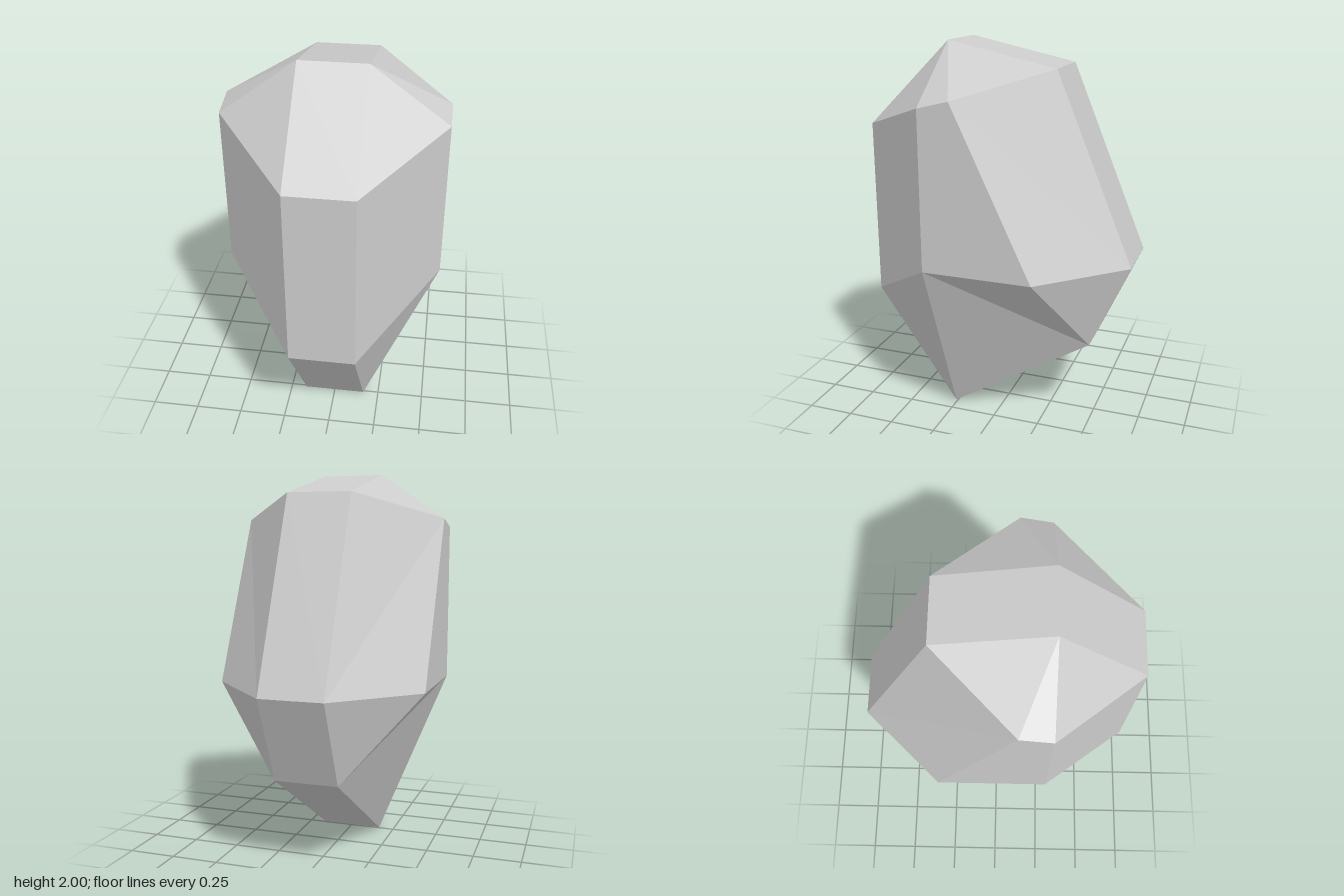
import * as THREE from 'three';

// Corner points of the left (+x) half: [x, y, z]
const P = {
  crown: [0.165, 2, 0.26],
  crownBack: [0.165, 1.88, -0.3],
  rear: [0.165, 0.92, -0.7],
  footBack: [0.165, 0.47, -0.5],
  foot: [0.165, 0, 0.26],
  frontLow: [0.165, 0.63, 0.705],
  frontTop: [0.165, 1.56, 0.705],
  sideTop: [0.543, 1.72, 0.26],
  sideTopBack: [0.543, 1.76, 0.1],
  sideLow: [0.543, 0.915, 0.26],
  sideLowBack: [0.543, 0.915, -0.3],
};

// Facets of one flank, counter-clockwise from outside
const flank = [
  // sloping cap
  ['crown', 'frontTop', 'sideTop'],
  ['crown', 'sideTop', 'sideTopBack'],
  ['crown', 'sideTopBack', 'crownBack'],
  // back bevel
  ['crownBack', 'sideTopBack', 'rear'],
  ['sideTopBack', 'sideLowBack', 'rear'],
  // front bevel and flat side
  ['frontTop', 'frontLow', 'sideLow', 'sideTop'],
  ['sideTop', 'sideLow', 'sideLowBack', 'sideTopBack'],
  // tapering underside with its notch
  ['frontLow', 'foot', 'sideLow'],
  ['sideLow', 'foot', 'footBack'],
  ['sideLow', 'footBack', 'sideLowBack'],
  ['sideLowBack', 'footBack', 'rear'],
];

// Outline of the central band running around the stone
const band = ['crown', 'frontTop', 'frontLow', 'foot', 'footBack', 'rear', 'crownBack'];

const mirror = ([x, y, z]) => [-x, y, z];

export function createModel() {
  const positions = [];
  const addFace = (pts) => {
    for (let i = 1; i < pts.length - 1; i++) positions.push(...pts[0], ...pts[i], ...pts[i + 1]);
  };

  // Both flanks
  for (const face of flank) {
    const pts = face.map((name) => P[name]);
    addFace(pts);
    addFace(pts.map(mirror).reverse());
  }

  // Central band joining the flanks
  band.forEach((name, i) => {
    const p = P[name];
    const q = P[band[(i + 1) % band.length]];
    addFace([q, p, mirror(p), mirror(q)]);
  });

  const geometry = new THREE.BufferGeometry();
  geometry.setAttribute('position', new THREE.Float32BufferAttribute(positions, 3));
  geometry.computeVertexNormals();

  const stone = new THREE.Mesh(
    geometry,
    new THREE.MeshStandardMaterial({ color: 0xcccccc, flatShading: true })
  );
  stone.name = 'facetedStone';

  const group = new THREE.Group();
  group.name = 'facetedRock';
  group.add(stone);
  return group;
}
